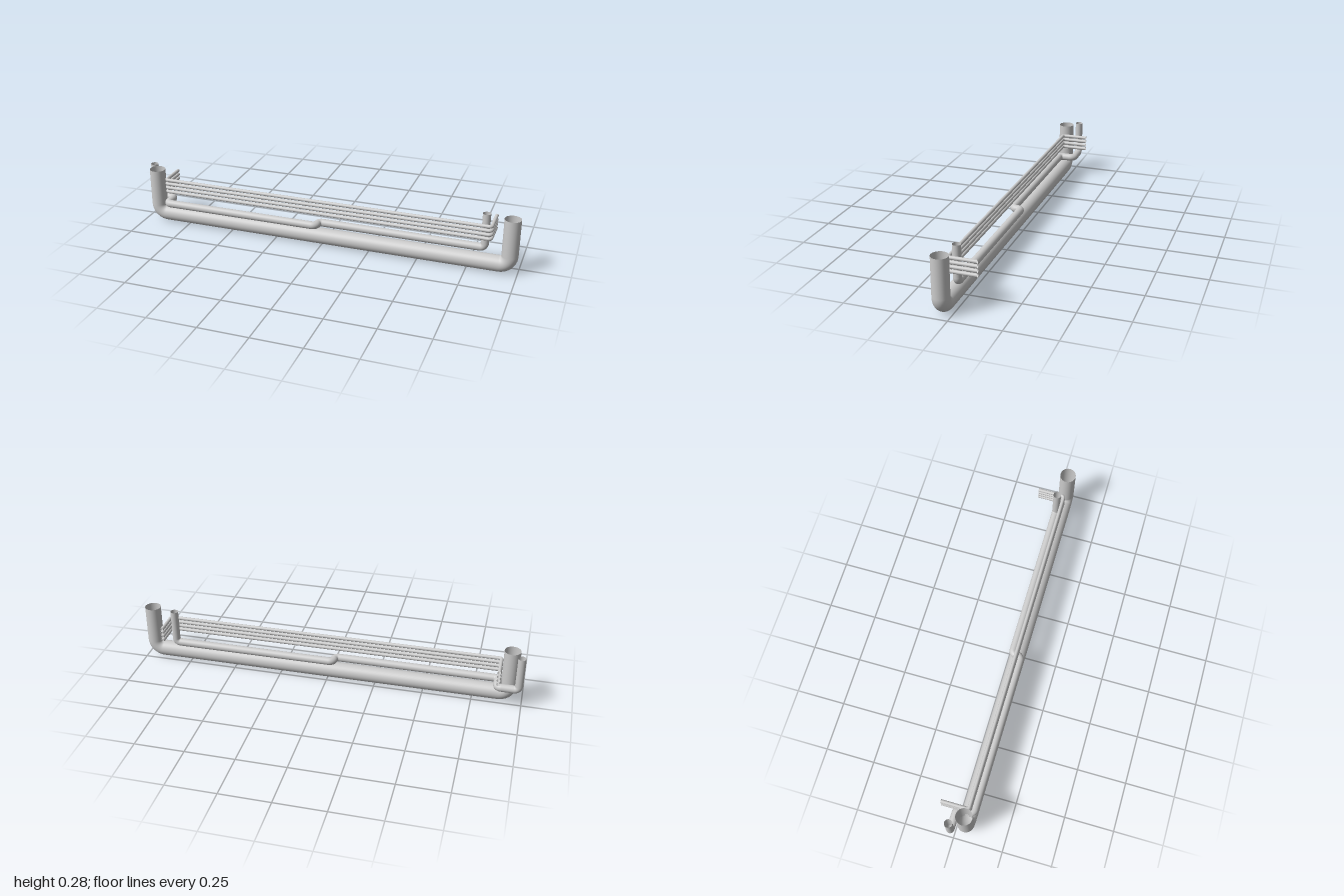
import * as THREE from 'three';

// Curve along a right-angled route whose corners are rounded by quarter arcs
class BentRoute extends THREE.Curve {
  constructor(corners, bend, arcSteps = 10) {
    super();
    const p = corners.map((c) => new THREE.Vector3(...c));
    const dir = (i) => p[i + 1].clone().sub(p[i]).normalize();
    this.points = [p[0]];
    this.tangents = [dir(0)];
    for (let i = 1; i < p.length - 1; i++) {
      const a = dir(i - 1), b = dir(i);
      for (let s = 0; s <= arcSteps; s++) {
        const t = (s / arcSteps) * Math.PI / 2;
        this.points.push(p[i].clone()
          .addScaledVector(a, bend * (Math.sin(t) - 1))
          .addScaledVector(b, bend * (1 - Math.cos(t))));
        this.tangents.push(a.clone().multiplyScalar(Math.cos(t)).addScaledVector(b, Math.sin(t)));
      }
    }
    this.points.push(p[p.length - 1]);
    this.tangents.push(dir(p.length - 2));
    this.steps = this.points.length - 1;
  }
  getPointAt(u, target = new THREE.Vector3()) {
    return target.copy(this.points[Math.round(u * this.steps)]);
  }
  getTangentAt(u, target = new THREE.Vector3()) {
    return target.copy(this.tangents[Math.round(u * this.steps)]);
  }
}

export function createModel() {
  const model = new THREE.Group();
  model.name = 'pipeAssembly';
  const material = new THREE.MeshStandardMaterial({ color: 0xcccccc, side: THREE.DoubleSide });

  // Open-ended pipe swept along a bent route
  function pipe(name, corners, radius, bend, sides) {
    const route = new BentRoute(corners, bend);
    const mesh = new THREE.Mesh(new THREE.TubeGeometry(route, route.steps, radius, sides), material);
    mesh.name = name;
    model.add(mesh);
  }

  // Wide U-shaped main pipe
  pipe('mainPipe', [
    [-0.93, 0.285, 0.046], [-0.93, 0.041, 0.046],
    [0.956, 0.041, 0.046], [0.956, 0.285, 0.046],
  ], 0.041, 0.05, 40);

  // Middle pipe that passes behind the main riser and sidesteps halfway along
  pipe('middlePipe', [
    [-0.98, 0.285, -0.016], [-0.98, 0.103, -0.016], [-0.873, 0.103, -0.016],
    [-0.873, 0.103, 0.068], [-0.03, 0.103, 0.068], [-0.03, 0.103, 0.022],
    [0.827, 0.103, 0.022], [0.827, 0.285, 0.022],
  ], 0.02, 0.0225, 32);

  // Stack of four thin tubes turning back at both ends
  for (let i = 0; i < 4; i++) {
    const y = 0.165 + i * 0.022;
    pipe('thinTube' + (i + 1), [
      [-0.88, y, -0.087], [-0.88, y, 0.052], [0.859, y, 0.052], [0.859, y, -0.087],
    ], 0.009, 0.013, 20);
  }

  return model;
}
